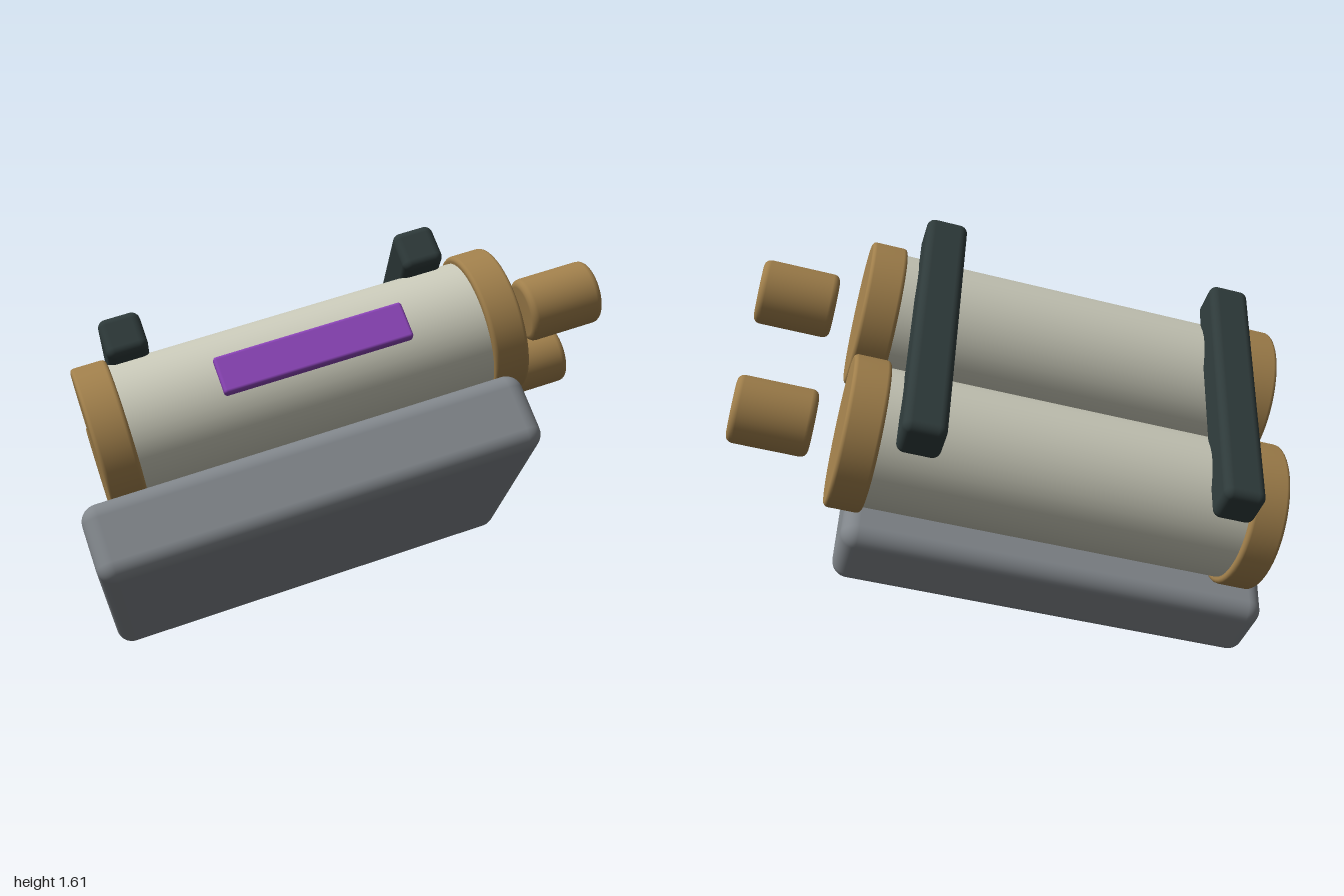
import * as THREE from 'three';
import { RoundedBoxGeometry } from 'three/addons/geometries/RoundedBoxGeometry.js';

const mat = (name, color) => {
  const m = new THREE.MeshStandardMaterial({ color });
  m.name = name;
  return m;
};

// Closed cylinder along local x with a small rounded rim, centred on its middle
function rimmedCylinder(radius, length, rim) {
  const h = length / 2;
  const pts = [new THREE.Vector2(0, -h), new THREE.Vector2(radius - rim, -h)];
  const arc = (cy, from) => {
    for (let i = 0; i <= 4; i++) {
      const t = from + (i / 4) * (Math.PI / 2);
      pts.push(new THREE.Vector2(radius - rim + rim * Math.cos(t), cy + rim * Math.sin(t)));
    }
  };
  arc(-h + rim, -Math.PI / 2);
  arc(h - rim, 0);
  pts.push(new THREE.Vector2(radius - rim, h), new THREE.Vector2(0, h));
  // drop duplicate points so normals stay clean
  const clean = pts.filter((p, i) => i === 0 || p.distanceTo(pts[i - 1]) > 1e-5);
  return new THREE.LatheGeometry(clean, 48).rotateZ(-Math.PI / 2);
}

export function createModel() {
  const cream = mat('cream', 0xc8c8b8);
  const brass = mat('brass', 0xa07f4b);
  const grey = mat('grey', 0x80858a);
  const dark = mat('dark', 0x2e3a3a);
  const purple = mat('purple', 0x8a44b6);

  const root = new THREE.Group();
  root.name = 'twinTankPack';

  // Tilted frame: x along the tanks, y away from the back plate, z across the tanks
  const pack = new THREE.Group();
  pack.name = 'pack';
  const along = new THREE.Vector3(0.805, 0.245, -0.541).normalize();
  const up = new THREE.Vector3(0.335, 0.56, 0.758).cross(along).normalize();
  const across = along.clone().cross(up);
  pack.quaternion.setFromRotationMatrix(new THREE.Matrix4().makeBasis(along, up, across));
  pack.position.set(-0.104, 0.917, -0.06);
  root.add(pack);

  const add = (name, geometry, material, x, y, z, parent = pack) => {
    const mesh = new THREE.Mesh(geometry, material);
    mesh.name = name;
    mesh.position.set(x, y, z);
    parent.add(mesh);
  };

  // Back plate
  add('backPlate', new RoundedBoxGeometry(1.59, 0.28, 1.05, 5, 0.06), grey, -0.102, -0.42, 0);

  // Two tanks, each with end caps, a nozzle and a label strip
  const barrel = new THREE.CylinderGeometry(0.245, 0.245, 1.5, 48, 1, true).rotateZ(-Math.PI / 2);
  const cap = rimmedCylinder(0.268, 0.13, 0.015);
  const nozzle = rimmedCylinder(0.118, 0.28, 0.025);
  const label = new RoundedBoxGeometry(0.69, 0.14, 0.04, 3, 0.012);
  for (const side of [-1, 1]) {
    const tank = new THREE.Group();
    tank.name = side > 0 ? 'frontTank' : 'backTank';
    tank.position.z = side * 0.29;
    pack.add(tank);
    add('barrel', barrel, cream, 0, 0, 0, tank);
    for (const end of [-1, 1]) add('endCap', cap, brass, end * 0.715, 0, 0, tank);
    add('nozzle', nozzle, brass, 1.007, 0, 0, tank);
    add('label', label, purple, 0.035, 0, 0.25, tank);
  }

  // Straps across both tanks
  const strap = new RoundedBoxGeometry(0.15, 0.15, 1.03, 4, 0.03);
  for (const x of [-0.57, 0.53]) add('strap', strap, dark, x, 0.272, 0);

  return root;
}
